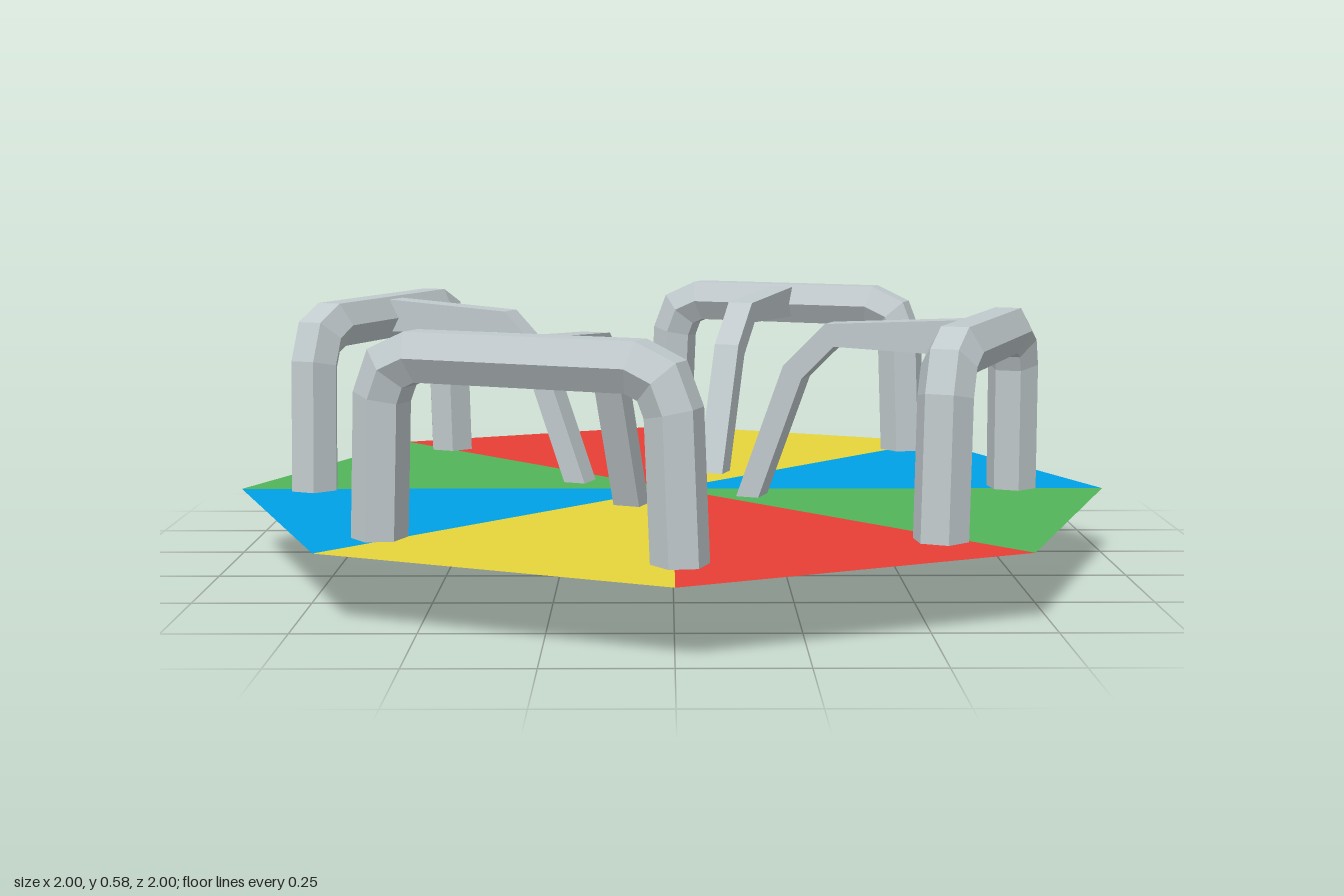
import * as THREE from 'three';

const material = (name, color, extra = {}) => {
  const m = new THREE.MeshStandardMaterial({ color, ...extra });
  m.name = name;
  return m;
};

// Sweeps a closed section of [u, v] points along a mitred path of [x, y, thickness scale] (v runs along z).
function sweep(path, section) {
  const pts = path.map(([x, y]) => new THREE.Vector2(x, y));
  const last = pts.length - 1;
  const rings = pts.map((p, i) => {
    const before = p.clone().sub(pts[Math.max(i - 1, 0)]).normalize();
    const after = pts[Math.min(i + 1, last)].clone().sub(p).normalize();
    const dir = before.clone().add(after).normalize();
    const scale = (path[i][2] ?? 1) / dir.dot(i === 0 ? after : before);
    return section.map(([u, v]) => [p.x - dir.y * u * scale, p.y + dir.x * u * scale, v]);
  });
  const out = [];
  const n = section.length;
  const tri = (a, b, c) => out.push(...a, ...b, ...c);
  for (let i = 0; i < last; i++) {
    for (let j = 0; j < n; j++) {
      const k = (j + 1) % n;
      tri(rings[i][j], rings[i][k], rings[i + 1][k]);
      tri(rings[i][j], rings[i + 1][k], rings[i + 1][j]);
    }
  }
  for (let j = 1; j < n - 1; j++) {
    tri(rings[0][0], rings[0][j + 1], rings[0][j]);
    tri(rings[last][0], rings[last][j], rings[last][j + 1]);
  }
  const geometry = new THREE.BufferGeometry();
  geometry.setAttribute('position', new THREE.Float32BufferAttribute(out, 3));
  geometry.computeVertexNormals();
  return geometry;
}

export function createModel() {
  const model = new THREE.Group();
  model.name = 'merryGoRound';
  const add = (parent, name, geometry, mat) => {
    const mesh = new THREE.Mesh(geometry, mat);
    mesh.name = name;
    parent.add(mesh);
    return mesh;
  };

  const steel = material('grey steel', 0xc0c9cc, { flatShading: true });
  const baseBlue = material('underside blue', 0x008dd0, { flatShading: true });
  const paints = [
    material('blue', 0x00a1e6),
    material('yellow', 0xe6d53a),
    material('red', 0xe73f36),
    material('green', 0x53b459),
  ];
  const deckY = 0.15;

  // Shallow octagonal underside
  const profile = [[0, 0], [0.06, 0], [1, deckY]].map(([x, y]) => new THREE.Vector2(x, y));
  add(model, 'underside', new THREE.LatheGeometry(profile, 8), baseBlue);

  // Painted deck wedges
  for (let i = 0; i < 8; i++) {
    const corner = (k) => new THREE.Vector2(Math.cos(k * Math.PI / 4), Math.sin(k * Math.PI / 4));
    const wedge = new THREE.ShapeGeometry(new THREE.Shape([new THREE.Vector2(), corner(i), corner(i + 1)]));
    wedge.rotateX(-Math.PI / 2).translate(0, deckY, 0);
    add(model, 'deckWedge', wedge, paints[i % 4]);
  }

  // Sections: hexagonal tube for the rails, flat bar for the braces
  const hexagon = Array.from({ length: 6 }, (_, k) => {
    const a = Math.PI / 6 + k * Math.PI / 3;
    return [0.058 * Math.cos(a), 0.058 * Math.sin(a)];
  });
  const flatBar = [[0.025, -0.031], [0.025, 0.031], [-0.025, 0.031], [-0.025, -0.031]];

  // Four handrails (front, right, back, left of the plan), each an arch with a brace bent down towards the hub
  const shifts = [[-0.005, -0.021], [-0.032, -0.008], [0.015, -0.02], [-0.007, -0.016]];
  shifts.forEach(([x, z], k) => {
    const rail = new THREE.Group();
    rail.name = 'handrail';
    rail.position.set(x, 0, z);
    rail.rotation.y = -Math.PI / 8 + k * Math.PI / 2;
    model.add(rail);

    const half = [[0.33, 0.14], [0.317, 0.44], [0.293, 0.5], [0.238, 0.525]];
    const path = [...half.map(([px, py]) => [-px, py]), ...half.slice().reverse()];
    if (k === 3) path[0] = [-0.331, 0.105]; // this leg passes through the deck
    add(rail, 'arch', sweep(path, hexagon), steel).position.z = 0.755;

    const brace = sweep([[0.212, 0.1], [0.335, 0.44], [0.42, 0.525], [0.74, 0.53, 1.6]], flatBar);
    brace.rotateY(-Math.PI / 2);
    add(rail, 'brace', brace, steel);
  });
  return model;
}
